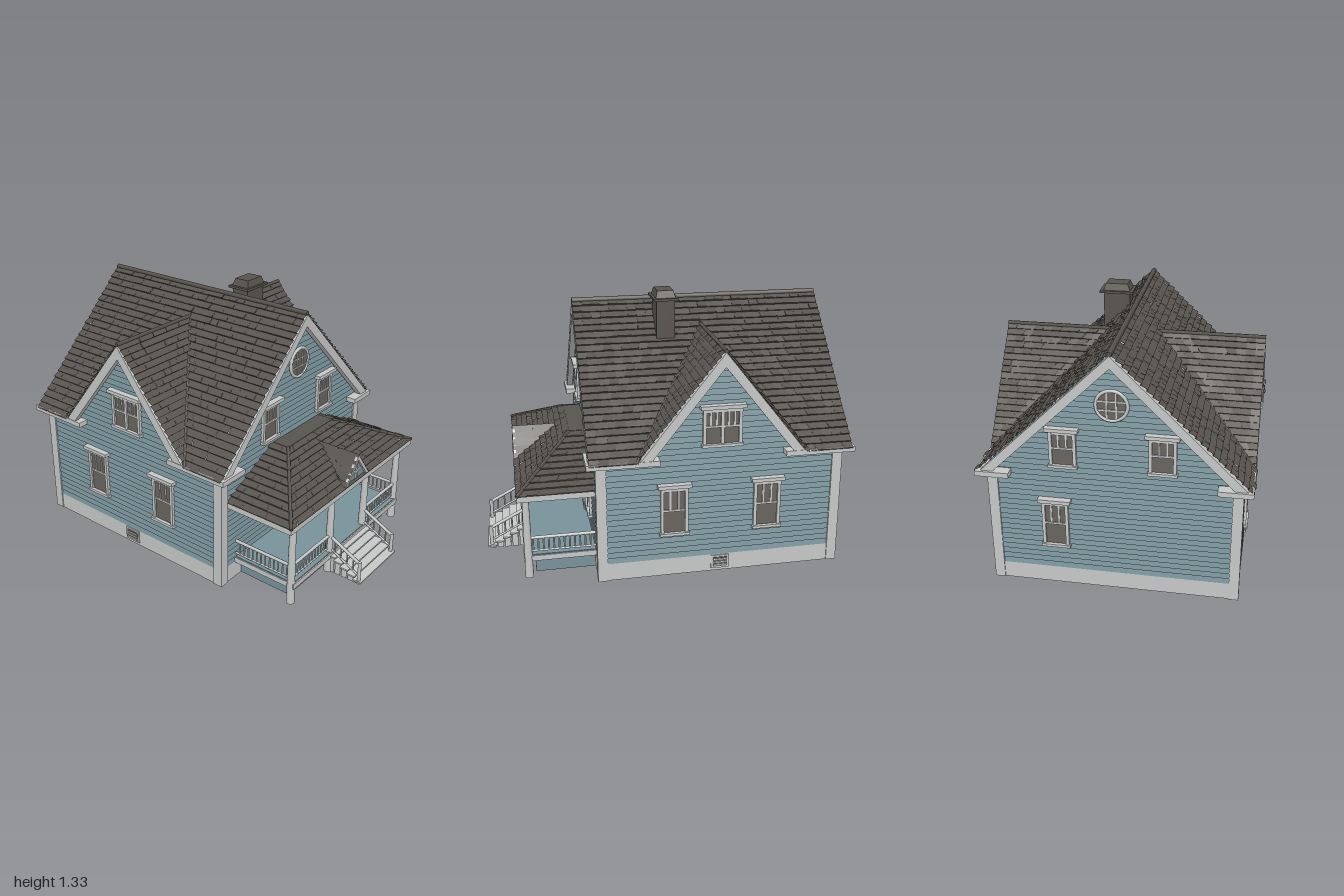
import * as THREE from 'three';

const M = (name, color, side = THREE.FrontSide) => new THREE.MeshStandardMaterial({ name, color, side });
const siding = M('blue grey siding', 0x78929a, THREE.DoubleSide);
const shingle = M('dark shingle', 0x58534e, THREE.DoubleSide);
const trim = M('pale trim', 0xc6c7c7);
const glass = M('window glass', 0x68645f);
const stone = M('chimney brown', 0x58534c);

// Main measurements: wall half sizes, roof half sizes, heights
const U = 0.601, W = 0.594, RU = 0.655, RW = 0.638, EAVE = 0.62, RIDGE = 1.26;
const CROSS = 1.14, CW = 0.415;
const mainU = y => RU * (RIDGE - y) / (RIDGE - EAVE);
const crossW = y => Math.max(0, CW * (CROSS - y) / (CROSS - EAVE));
const V = (x, y, z) => new THREE.Vector3(x, y, z);
const lerp = THREE.MathUtils.lerp;

function add(parent, name, geo, mat, x = 0, y = 0, z = 0) {
  const m = new THREE.Mesh(geo, mat);
  m.name = name;
  m.position.set(x, y, z);
  parent.add(m);
  return m;
}
const box = (p, name, w, h, d, mat, x, y, z) => add(p, name, new THREE.BoxGeometry(w, h, d), mat, x, y, z);

function sub(parent, name, angle = 0) {
  const g = new THREE.Group();
  g.name = name;
  g.rotation.y = angle;
  parent.add(g);
  return g;
}

// Round bar between two points
function bar(p, name, a, b, r, mat) {
  const m = add(p, name, new THREE.CylinderGeometry(r, r, a.distanceTo(b), 6), mat);
  m.position.copy(a).add(b).multiplyScalar(0.5);
  m.quaternion.setFromUnitVectors(V(0, 1, 0), b.clone().sub(a).normalize());
}

// Overlapping courses: line(t) gives the left and right ends, bottom to top;
// tab > 0 splits each course into shingles of uneven thickness
function courses(p, name, n, line, lift, mat, tab = 0) {
  const pos = [];
  const quad = (a, b, c, d) => [a, b, c, a, c, d].forEach(v => pos.push(v.x, v.y, v.z));
  let seed = 7;
  const rnd = () => (seed = (seed * 16807) % 2147483647) / 2147483647;
  for (let i = 0; i < n; i++) {
    const [a0, b0] = line(i / n), [a1, b1] = line((i + 1) / n);
    const along = b0.clone().sub(a0).add(b1).sub(a1);
    const nor = along.cross(a1.clone().sub(a0)).normalize();
    const k = tab ? Math.max(1, Math.round(a0.distanceTo(b0) / tab)) : 1;
    for (let j = 0; j < k; j++) {
      const off = nor.clone().multiplyScalar(lift * (tab ? 0.6 + 0.8 * rnd() : 1));
      const l0 = a0.clone().lerp(b0, j / k), r0 = a0.clone().lerp(b0, (j + 1) / k);
      const l1 = a1.clone().lerp(b1, j / k), r1 = a1.clone().lerp(b1, (j + 1) / k);
      const lo = l0.clone().add(off), ro = r0.clone().add(off);
      quad(lo, ro, r1, l1);
      quad(l0, r0, ro, lo);
    }
  }
  const g = new THREE.BufferGeometry();
  g.setAttribute('position', new THREE.Float32BufferAttribute(pos, 3));
  g.computeVertexNormals();
  return add(p, name, g, mat);
}

// Inverted V board along a gable
function chevron(p, name, hw, y0, apex, d, depth, z) {
  const k = d * hw / (apex - y0);
  const pts = [[hw, y0], [0, apex], [-hw, y0], [-hw + k, y0], [0, apex - d], [hw - k, y0]];
  const s = new THREE.Shape(pts.map(q => new THREE.Vector2(...q)));
  add(p, name, new THREE.ExtrudeGeometry(s, { depth, bevelEnabled: false }), trim, 0, 0, z);
}

// Sash window on a wall facing +z
function windowUnit(p, x, y0, y1, w, z, sashes = 1) {
  const g = sub(p, 'window'), h = y1 - y0, cy = (y0 + y1) / 2, f = 0.016;
  g.position.set(x, 0, z);
  box(g, 'pane', w - f, h - f, 0.008, glass, 0, cy, 0.006);
  for (const s of [-1, 1]) box(g, 'jamb', f, h, 0.022, trim, s * (w - f) / 2, cy, 0.008);
  box(g, 'sill', w + 0.012, 0.014, 0.03, trim, 0, y0 + 0.007, 0.012);
  box(g, 'header', w + 0.03, 0.018, 0.04, trim, 0, y1, 0.016);
  box(g, 'top rail', w, 0.02, 0.02, trim, 0, y1 - 0.02, 0.008);
  const sw = (w - f) / sashes;
  for (let i = 0; i < sashes; i++) {
    const cx = (i - (sashes - 1) / 2) * sw;
    if (i) box(g, 'mullion', f, h, 0.02, trim, cx - sw / 2, cy, 0.008);
    box(g, 'meeting rail', sw, 0.01, 0.016, trim, cx, cy, 0.008);
    for (const s of [-1, 1]) box(g, 'muntin', 0.008, h / 2, 0.014, trim, cx + s * sw / 6, cy + h / 4, 0.008);
  }
}

// Railing whose height is measured from its lower rail
function railing(p, a, b, n, h = 0.07) {
  const up = V(0, h, 0);
  bar(p, 'lower rail', a, b, 0.006, trim);
  bar(p, 'hand rail', a.clone().add(up), b.clone().add(up), 0.009, trim);
  for (let i = 1; i < n; i++) {
    const q = a.clone().lerp(b, i / n);
    bar(p, 'baluster', q, q.clone().add(up), 0.0045, trim);
  }
}

// One side wall with cross gable, one main slope and one gable end
function buildHalf(p) {
  for (const s of [1, -1]) courses(p, 'main roof', 24, t => {
    const y = lerp(EAVE, RIDGE, t), u = mainU(y), c = crossW(y);
    return s > 0 ? [V(u, y, RW), V(u, y, c)] : [V(u, y, -c), V(u, y, -RW)];
  }, 0.01, shingle, 0.045);
  for (const s of [1, -1]) {
    courses(p, 'cross gable roof', 20, t => {
      const y = lerp(EAVE, CROSS, t), a = V(mainU(y), y, s * crossW(y)), b = V(RU, y, s * crossW(y));
      return s > 0 ? [a, b] : [b, a];
    }, 0.01, shingle, 0.045);
    bar(p, 'valley', V(RU, EAVE + 0.005, s * CW), V(mainU(CROSS), CROSS, 0), 0.008, shingle);
    box(p, 'eave', 0.06, 0.026, 0.345, trim, 0.628, 0.618, s * 0.4775);
    box(p, 'gable return', 0.165, 0.026, 0.06, trim, s * 0.575, 0.618, 0.621);
    box(p, 'corner board', 0.05, 0.62, 0.05, trim, U - 0.014, 0.31, s * (W - 0.014));
  }
  bar(p, 'cross ridge', V(mainU(CROSS), CROSS, 0), V(RU, CROSS, 0), 0.01, shingle);

  const side = sub(p, 'side wall', Math.PI / 2);
  courses(side, 'siding', 36, t => {
    const y = lerp(0.09, CROSS - 0.02, t), h = y > 0.64 ? crossW(y + 0.015) : W;
    return [V(-h, y, U), V(h, y, U)];
  }, 0.007, siding);
  chevron(side, 'cross rake board', CW, 0.608, CROSS - 0.006, 0.07, 0.032, 0.624);
  for (const s of [-1, 1]) windowUnit(side, s * 0.23, 0.22, 0.48, 0.135, U);
  windowUnit(side, 0, 0.665, 0.865, 0.19, U, 2);
  box(side, 'vent', 0.09, 0.07, 0.02, trim, 0, 0.05, U + 0.002);
  box(side, 'vent opening', 0.07, 0.05, 0.006, glass, 0, 0.05, U + 0.012);
  for (let i = 0; i < 3; i++) box(side, 'vent slat', 0.07, 0.005, 0.01, trim, 0, 0.035 + i * 0.015, U + 0.013);

  courses(p, 'gable siding', 40, t => {
    const y = lerp(0.09, RIDGE - 0.02, t), h = Math.min(U, mainU(y + 0.01));
    return [V(-h, y, W), V(h, y, W)];
  }, 0.007, siding);
  chevron(p, 'rake board', RU, 0.608, RIDGE - 0.006, 0.06, 0.032, 0.607);
  for (const s of [-1, 1]) windowUnit(p, s * 0.235, 0.665, 0.865, 0.13, W);
  const round = sub(p, 'round window');
  round.position.set(0, 1, W + 0.008);
  add(round, 'round pane', new THREE.CircleGeometry(0.075, 32), glass, 0, 0, 0.002);
  add(round, 'round frame', new THREE.TorusGeometry(0.074, 0.008, 8, 32), trim);
  for (const s of [-1, 1]) {
    box(round, 'muntin', 0.007, 0.14, 0.012, trim, s * 0.022, 0, 0);
    box(round, 'muntin', 0.14, 0.007, 0.012, trim, 0, s * 0.022, 0);
  }
}

function buildPorch(p) {
  const EU = 0.566, EW = 0.97, TU = 0.2, TW = 0.69, Y0 = 0.46, Y1 = 0.635;
  box(p, 'porch skirt', 0.9, 0.09, 0.3, siding, 0, 0.045, 0.745);
  box(p, 'porch floor edge', 1.0, 0.028, 0.36, trim, 0, 0.1, 0.772);
  box(p, 'porch floor', 0.99, 0.006, 0.352, siding, 0, 0.116, 0.77);
  box(p, 'porch ceiling', 1.1, 0.01, 0.36, siding, 0, 0.446, 0.775);
  box(p, 'porch fascia', 2 * EU, 0.028, 0.05, trim, 0, 0.447, EW - 0.025);
  for (const s of [-1, 1]) {
    box(p, 'porch side fascia', 0.05, 0.028, EW - W, trim, s * (EU - 0.025), 0.447, (EW + W) / 2);
    courses(p, 'porch side roof', 10, t => {
      const u = s * lerp(EU, TU, t), y = lerp(Y0, Y1, t);
      const e = [V(u, y, lerp(EW, TW, t)), V(u, y, W)];
      return s > 0 ? e : e.reverse();
    }, 0.008, shingle, 0.045);
    bar(p, 'hip', V(s * EU, Y0 + 0.004, EW), V(s * TU, Y1, TW), 0.009, shingle);
    for (const u of [0.16, 0.49])
      add(p, 'porch post', new THREE.CylinderGeometry(0.016, 0.021, 0.435, 14), trim, s * u, 0.2175, 0.93);
    railing(p, V(s * 0.49, 0.138, 0.6), V(s * 0.49, 0.138, 0.93), 13);
    railing(p, V(s * 0.16, 0.138, 0.93), V(s * 0.49, 0.138, 0.93), 13);
    railing(p, V(s * 0.16, 0.138, 0.93), V(s * 0.16, 0.045, 1.11), 5);
    bar(p, 'newel', V(s * 0.16, 0, 1.11), V(s * 0.16, 0.125, 1.11), 0.01, trim);
  }
  courses(p, 'porch front roof', 10, t => {
    const u = lerp(EU, TU, t), y = lerp(Y0, Y1, t), w = lerp(EW, TW, t);
    return [V(-u, y, w), V(u, y, w)];
  }, 0.008, shingle, 0.045);
  box(p, 'porch roof top', 2 * TU, 0.01, TW - W, shingle, 0, Y1 - 0.003, (TW + W) / 2);

  // Small gable above the steps
  const slopeW = y => EW - (y - Y0) / (Y1 - Y0) * (EW - TW);
  for (const s of [-1, 1]) courses(p, 'porch gable roof', 5, t => {
    const y = lerp(0.465, 0.61, t), u = s * lerp(0.115, 0, t);
    const e = [V(u, y, slopeW(y)), V(u, y, 0.972)];
    return s > 0 ? e : e.reverse();
  }, 0.005, shingle, 0.045);
  chevron(p, 'porch gable rake', 0.11, 0.465, 0.606, 0.026, 0.014, 0.958);
  const tri = new THREE.Shape([new THREE.Vector2(-0.1, 0.465), new THREE.Vector2(0.1, 0.465), new THREE.Vector2(0, 0.595)]);
  add(p, 'porch gable face', new THREE.ShapeGeometry(tri), siding, 0, 0, 0.96);
  box(p, 'porch gable post', 0.009, 0.11, 0.008, trim, 0, 0.53, 0.964);
  box(p, 'porch gable bar', 0.09, 0.009, 0.008, trim, 0, 0.515, 0.964);

  // Steps
  for (let i = 0; i < 5; i++) {
    const y = 0.1 - i * 0.02, z = 0.955 + i * 0.038;
    box(p, 'tread', 0.35, 0.008, 0.046, trim, 0, y - 0.004, z);
    box(p, 'riser', 0.33, y - 0.008, 0.03, trim, 0, (y - 0.008) / 2, z - 0.003);
  }
}

export function createModel() {
  const model = new THREE.Group();
  model.name = 'house';
  const house = sub(model, 'turned house', THREE.MathUtils.degToRad(27.6));
  house.position.set(-0.0425, 0, -0.1325);

  add(house, 'foundation', new THREE.BoxGeometry(2 * U + 0.012, 0.092, 2 * W + 0.012),
    [trim, trim, trim, siding, trim, trim], 0, 0.046, 0);
  const front = sub(house, 'front and left half'), back = sub(house, 'back and right half', Math.PI);
  buildHalf(front);
  buildHalf(back);
  bar(house, 'main ridge', V(0, RIDGE, -RW), V(0, RIDGE, RW), 0.013, shingle);
  windowUnit(front, 0.275, 0.21, 0.43, 0.11, W);
  windowUnit(back, -0.285, 0.22, 0.48, 0.13, W);

  // Front door
  box(front, 'door frame', 0.16, 0.31, 0.02, trim, -0.015, 0.272, W + 0.006);
  box(front, 'door', 0.125, 0.285, 0.01, trim, -0.015, 0.262, W + 0.016);
  for (const s of [-1, 1]) for (const y of [0.19, 0.32])
    box(front, 'door panel', 0.045, 0.1, 0.008, trim, -0.015 + s * 0.029, y, W + 0.02);
  add(front, 'door knob', new THREE.SphereGeometry(0.006, 10, 8), glass, -0.068, 0.26, W + 0.026);

  // Chimney
  const ch = sub(house, 'chimney');
  ch.position.set(0.118, 0, 0.19);
  box(ch, 'chimney shaft', 0.135, 0.22, 0.092, stone, 0, 1.17, 0);
  box(ch, 'chimney flange', 0.172, 0.012, 0.124, stone, 0, 1.285, 0);
  const cap = new THREE.CylinderGeometry(0.8 * Math.SQRT1_2, Math.SQRT1_2, 0.036, 4, 1).rotateY(Math.PI / 4).toNonIndexed();
  cap.scale(0.14, 1, 0.1);
  cap.computeVertexNormals();
  add(ch, 'chimney cap', cap, stone, 0, 1.308, 0);
  buildPorch(house);
  return model;
}
